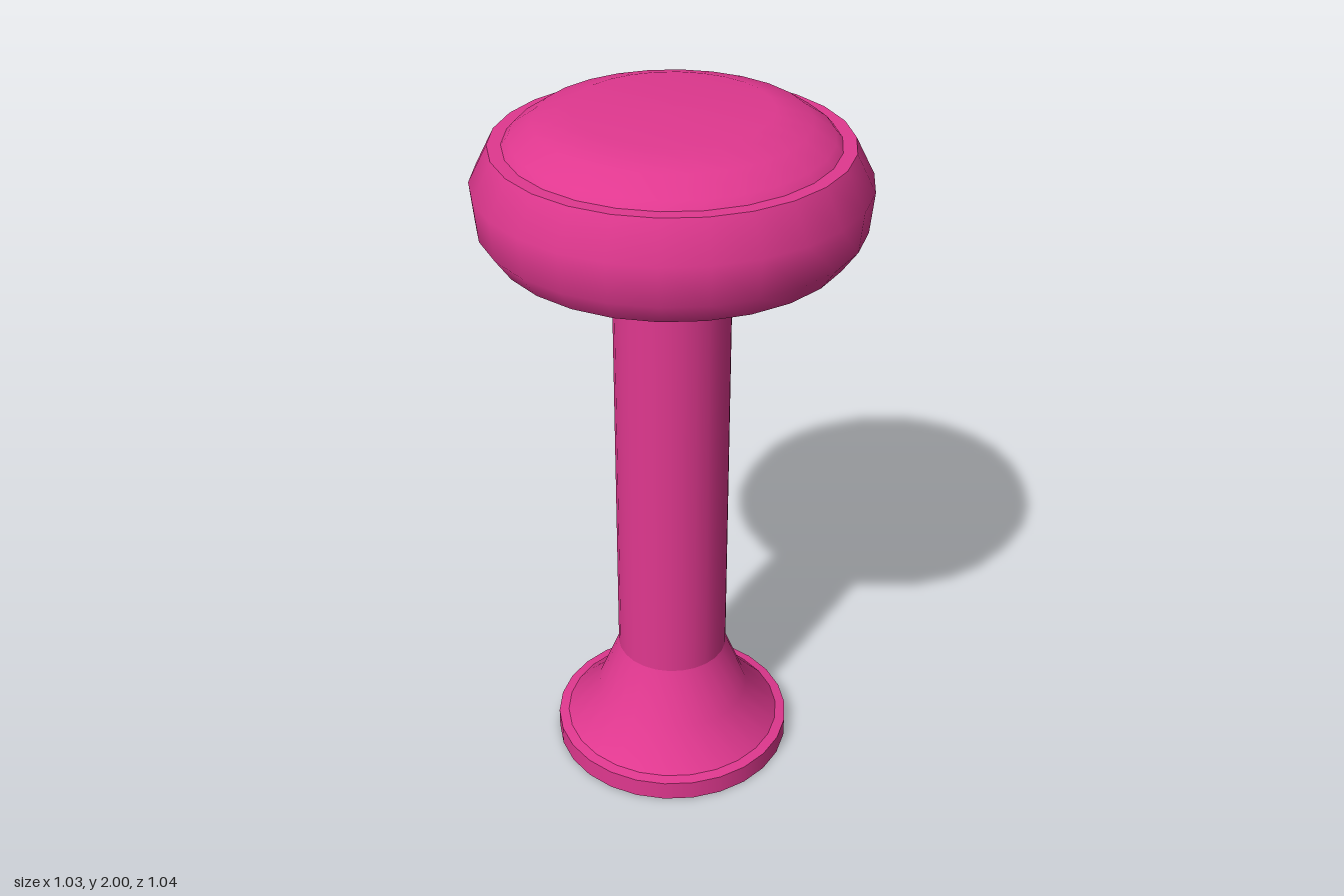
import * as THREE from 'three';

const SIDES = 26;
const material = new THREE.MeshStandardMaterial({ color: 0xe0388f });
const openMaterial = new THREE.MeshStandardMaterial({ color: 0xe0388f, side: THREE.DoubleSide });

// One smooth turned section; profile is [radius, height] pairs, bottom to top
function turned(name, profile, mat = material) {
  const points = profile.map(([r, y]) => new THREE.Vector2(r, y));
  const mesh = new THREE.Mesh(new THREE.LatheGeometry(points, SIDES), mat);
  mesh.name = name;
  return mesh;
}

function part(name, ...meshes) {
  const group = new THREE.Group();
  group.name = name;
  group.add(...meshes);
  return group;
}

export function createModel() {
  const model = new THREE.Group();
  model.name = 'pin';

  // Hollow flared foot, open underneath
  model.add(part('foot',
    turned('footRim', [[0.347, 0], [0.347, 0.058]], openMaterial),
    turned('footLedge', [[0.347, 0.058], [0.318, 0.063]], openMaterial),
    turned('footFlare', [[0.318, 0.063], [0.224, 0.165], [0.16, 0.327]], openMaterial),
  ));

  // Straight stem
  model.add(turned('stem', [[0.16, 0.327], [0.16, 1.64]], openMaterial));

  // Rounded head with a flat underside, a narrow ledge and a domed top
  model.add(part('head',
    turned('headUnderside', [[0.16, 1.64], [0.466, 1.64]]),
    turned('headSide', [[0.466, 1.64], [0.508, 1.7], [0.519, 1.81], [0.468, 1.91]]),
    turned('headLedge', [[0.468, 1.91], [0.432, 1.91]]),
    turned('headDome', [[0.432, 1.91], [0.415, 1.93], [0.355, 1.97], [0.26, 1.998], [0, 2]]),
  ));

  return model;
}
